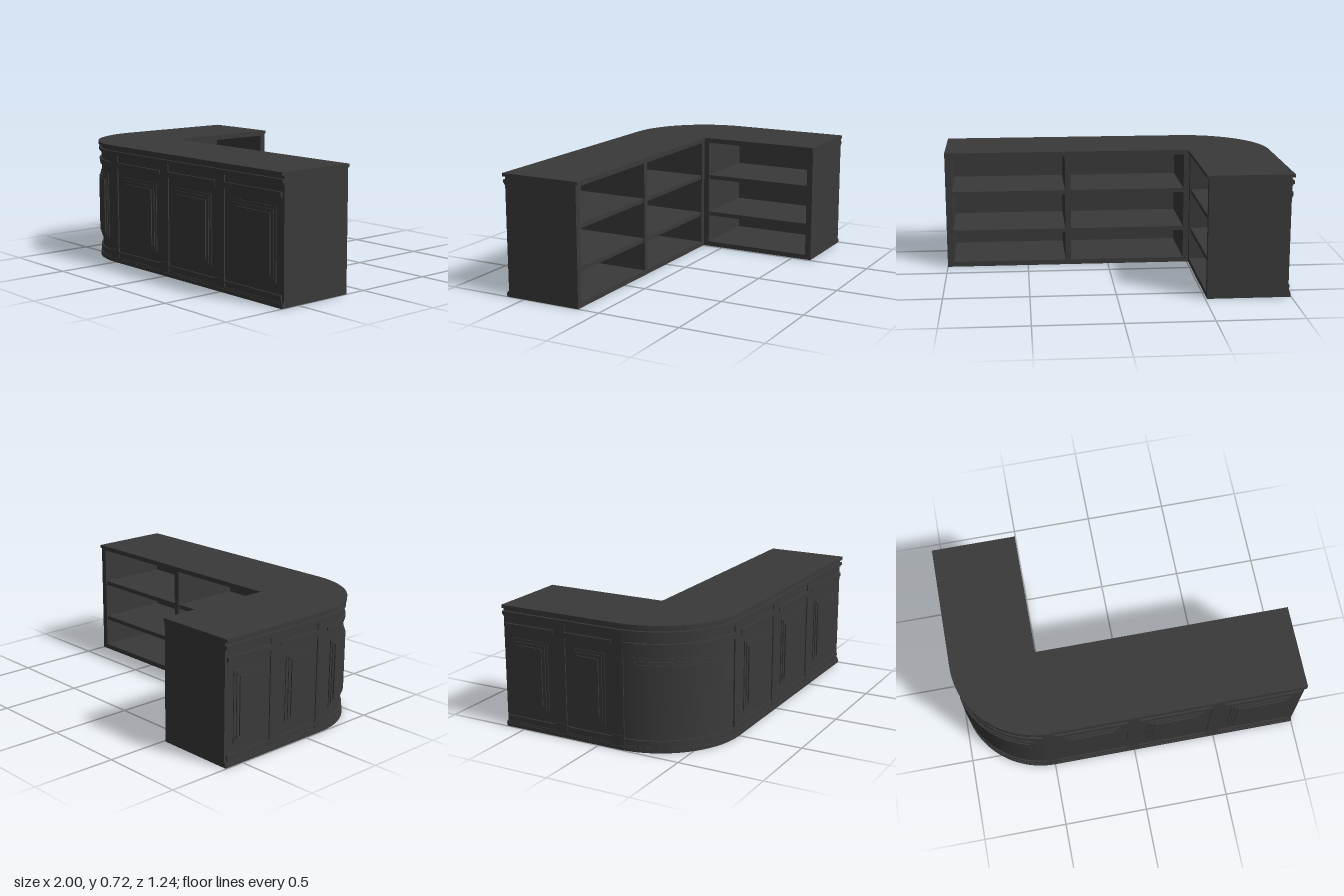
import * as THREE from 'three';

const R = 0.5;               // outer corner radius and arm depth
const CX = -0.5, CZ = 0.122; // corner centre
const HALF = 0.622;          // half depth of the whole counter
const ARC = R * Math.PI / 2;
const S0 = -ARC - (HALF + CZ), S1 = 1.5; // ends of the outer face, s = 0 where the front goes straight

const material = new THREE.MeshStandardMaterial({ color: 0x3a3a3a });

// Point on the outer face: s runs along it, d is the depth in from the top's edge
function facePoint(s, d) {
  const r = R - d;
  if (s >= 0) return [CX + s, CZ + r];
  if (s <= -ARC) return [CX - r, CZ + s + ARC];
  const a = -s / R;
  return [CX - r * Math.sin(a), CZ + r * Math.cos(a)];
}

export function createModel() {
  const model = new THREE.Group();
  model.name = 'cornerCounter';

  const add = (name, geometry, parent = model) => {
    const mesh = new THREE.Mesh(geometry, material);
    mesh.name = name;
    parent.add(mesh);
    return mesh;
  };

  // Box bent along the outer face
  const band = (name, s0, s1, y0, y1, d0, d1, parent) => {
    const bent = s0 < 0 && s1 > -ARC;
    const g = new THREE.BoxGeometry(s1 - s0, y1 - y0, d1 - d0, bent ? Math.ceil((s1 - s0) / 0.03) : 1, 1, 1);
    const p = g.attributes.position;
    for (let i = 0; i < p.count; i++) {
      const d = p.getZ(i) > 0 ? d0 : d1;
      const [x, z] = facePoint(p.getX(i) + (s0 + s1) / 2, d);
      p.setXYZ(i, x, p.getY(i) + (y0 + y1) / 2, z);
    }
    g.computeVertexNormals();
    return add(name, g, parent);
  };

  // Straight box given by its limits
  const box = (name, x0, x1, y0, y1, z0, z1) => {
    const g = new THREE.BoxGeometry(x1 - x0, y1 - y0, z1 - z0);
    g.translate((x0 + x1) / 2, (y0 + y1) / 2, (z0 + z1) / 2);
    return add(name, g);
  };

  // L-shaped plate with the rounded outer corner
  const plate = (name, y0, y1, inset, innerX, innerZ) => {
    const r = R - inset;
    const s = new THREE.Shape();
    s.moveTo(1, -innerZ);
    s.lineTo(innerX, -innerZ);
    s.lineTo(innerX, HALF);
    s.lineTo(CX - r, HALF);
    s.lineTo(CX - r, -CZ);
    s.absarc(CX, -CZ, r, Math.PI, Math.PI * 1.5, false);
    s.lineTo(1, -CZ - r);
    const g = new THREE.ExtrudeGeometry(s, { depth: y1 - y0, bevelEnabled: false, curveSegments: 28 });
    g.rotateX(-Math.PI / 2);
    g.translate(0, y0, 0);
    return add(name, g);
  };

  // Horizontal plates and the outer wall
  plate('counterTop', 0.703, 0.722, 0, -0.5, 0.125);
  plate('ceiling', 0.69, 0.704, 0.021, -0.51, 0.135);
  plate('floor', 0, 0.03, 0.021, -0.51, 0.135);
  band('outerWall', S0, S1, 0, 0.704, 0.018, 0.036);

  // Mouldings running the full length: name, y0, y1, depth
  for (const [name, y0, y1, d] of [
    ['cornice', 0.667, 0.685, 0.004],
    ['corniceStep', 0.657, 0.667, 0.012],
    ['plinth', 0, 0.022, 0.004],
    ['plinthStep', 0.022, 0.032, 0.008],
  ]) band(name, S0, S1, y0, y1, d, 0.02);

  // Pilasters with a slightly wider foot
  const pilasters = [-ARC - 0.372, -ARC, -0.01, 0.49, 0.99];
  const half = 0.037;
  for (const s of pilasters) {
    band('pilaster', s - half, s + half, 0.03, 0.667, 0.011, 0.02);
    band('pilasterFoot', s - half - 0.003, s + half + 0.003, 0.03, 0.08, 0.008, 0.02);
  }

  // Each bay between pilasters has mouldings and a stepped raised panel
  const edges = [S0 - half + 0.015, ...pilasters, S1 + half - 0.015];
  for (let i = 0; i < edges.length - 1; i++) {
    const bay = new THREE.Group();
    bay.name = 'panelBay';
    model.add(bay);
    const a = Math.max(edges[i] + half, S0), b = Math.min(edges[i + 1] - half, S1);
    band('friezeLower', a, b, 0.582, 0.594, 0.01, 0.02, bay);
    band('friezeUpper', a, b, 0.594, 0.617, 0.006, 0.02, bay);
    band('baseMoulding', a, b, 0.03, 0.05, 0.012, 0.02, bay);
    band('baseBead', a, b, 0.05, 0.068, 0.009, 0.02, bay);
    const p0 = edges[i] + 0.085, p1 = edges[i + 1] - 0.08;
    for (const [name, inset, d] of [
      ['panelBorder', 0, 0.013], ['panelStep', 0.017, 0.008], ['panelField', 0.036, 0.001],
    ]) band(name, p0 + inset, p1 - inset, 0.125 + inset, 0.535 - inset, d, 0.02, bay);
  }

  // Uprights of the open shelving
  box('rightEndPanel', 0.962, 1, 0, 0.704, 0.135, 0.604);
  box('leftEndPanel', -0.982, -0.51, 0, 0.704, -HALF, -0.585);
  box('divider', 0.23, 0.265, 0.03, 0.69, 0.135, 0.59);
  box('cornerUprightFront', -0.51, -0.475, 0, 0.704, 0.135, 0.59);
  box('cornerUprightSide', -0.97, -0.51, 0, 0.704, 0.1, 0.135);

  // Shelves in both arms
  for (const y of [0.205, 0.45]) {
    box('longShelf', -0.475, 0.962, y, y + 0.026, 0.142, 0.59);
    box('sideShelf', -0.97, -0.517, y, y + 0.026, -0.585, 0.1);
  }

  return model;
}
